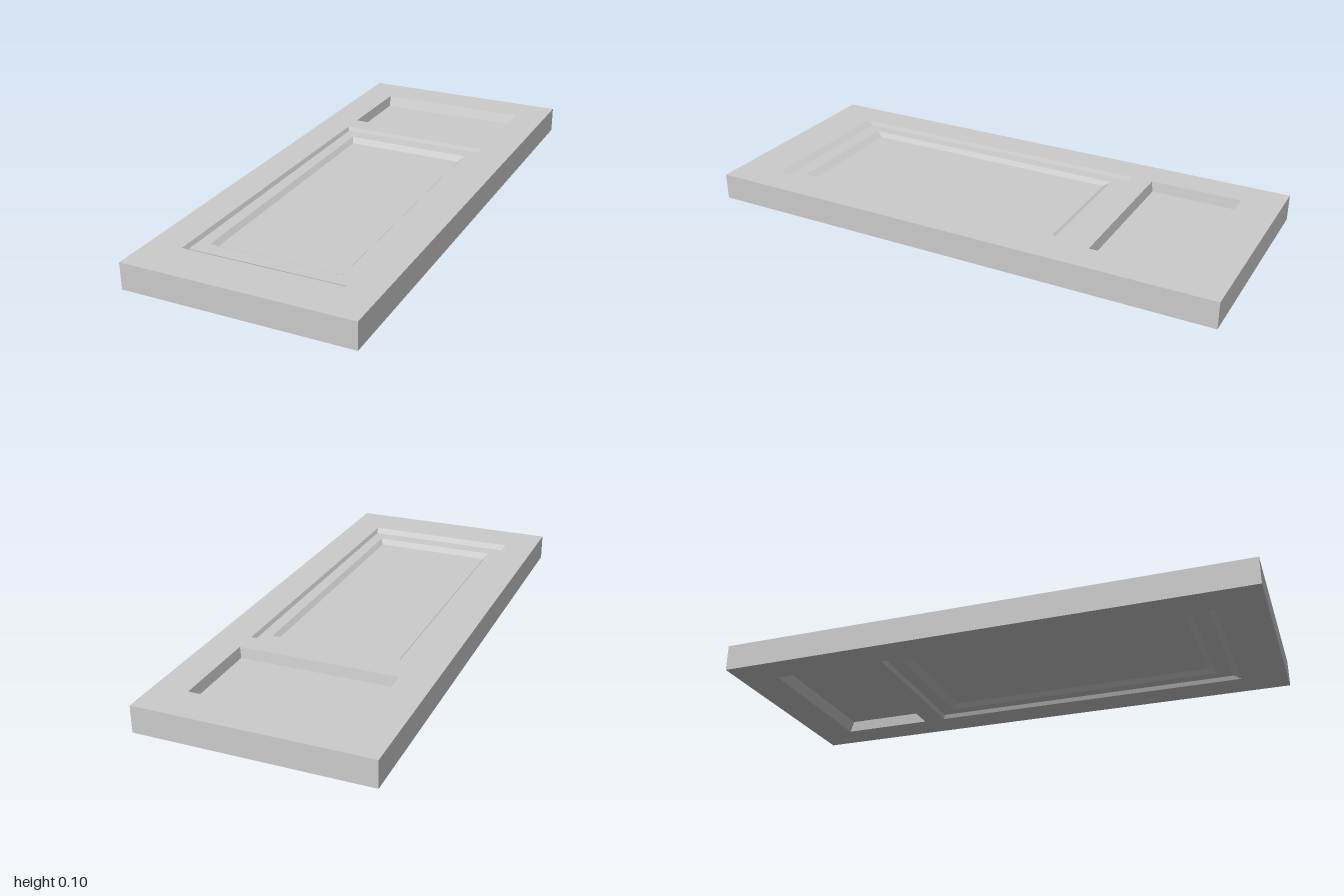
import * as THREE from 'three';

const W = 0.427, L = 1, T = 0.1;

// Each ring is a rectangle: [half width, back z, front z, height above the base]
const smallRecess = [
  [0.302, -0.85, -0.497, 0.1],
  [0.296, -0.832, -0.503, 0.06],
];
const largeRecess = [
  [0.302, -0.412, 0.83, 0.1],
  [0.295, -0.404, 0.802, 0.085],
  [0.25, -0.347, 0.743, 0.085],
  [0.235, -0.32, 0.715, 0.068],
];

// Flat-shaded skin through rectangular rings, optionally closed at the last one;
// side -1 mirrors it onto the underside
function loftRings(rings, side = 1, cap = true) {
  const pos = [];
  const corners = rings.map(([x, z0, z1, h]) => {
    const y = side > 0 ? h : T - h;
    return [[-x, y, z0], [-x, y, z1], [x, y, z1], [x, y, z0]];
  });
  const quad = (a, b, c, d) => {
    const order = side > 0 ? [a, b, c, a, c, d] : [a, c, b, a, d, c];
    order.forEach((p) => pos.push(...p));
  };
  for (let r = 0; r + 1 < corners.length; r++) {
    const a = corners[r], b = corners[r + 1];
    for (let i = 0; i < 4; i++) {
      const j = (i + 1) % 4;
      quad(a[i], a[j], b[j], b[i]);
    }
  }
  if (cap) quad(...corners[corners.length - 1]);
  const geo = new THREE.BufferGeometry();
  geo.setAttribute('position', new THREE.Float32BufferAttribute(pos, 3));
  geo.computeVertexNormals();
  return geo;
}

// Flat frame face with one opening per recess
function frameFace(side) {
  const trace = (path, [x, z0, z1]) => path.setFromPoints(
    [[-x, z0], [-x, z1], [x, z1], [x, z0]].map(([px, z]) => new THREE.Vector2(px, -side * z)));
  const shape = trace(new THREE.Shape(), [W, -L, L]);
  for (const recess of [smallRecess, largeRecess]) {
    shape.holes.push(trace(new THREE.Path(), recess[0]));
  }
  const geo = new THREE.ShapeGeometry(shape);
  geo.rotateX(-side * Math.PI / 2);
  geo.translate(0, side > 0 ? T : 0, 0);
  return geo;
}

export function createModel() {
  const group = new THREE.Group();
  group.name = 'panelDoor';
  const material = new THREE.MeshStandardMaterial({ color: 0xcccccc, flatShading: true });
  const add = (name, geo) => {
    const mesh = new THREE.Mesh(geo, material);
    mesh.name = name;
    group.add(mesh);
  };

  // Outer edges of the slab
  add('frameEdges', loftRings([[W, -L, L, 0], [W, -L, L, T]], 1, false));

  // Matching frame faces and recessed panels on both sides
  for (const [side, label] of [[1, 'upper'], [-1, 'lower']]) {
    add(label + 'FrameFace', frameFace(side));
    add(label + 'SmallPanel', loftRings(smallRecess, side));
    add(label + 'LargePanel', loftRings(largeRecess, side));
  }
  return group;
}
